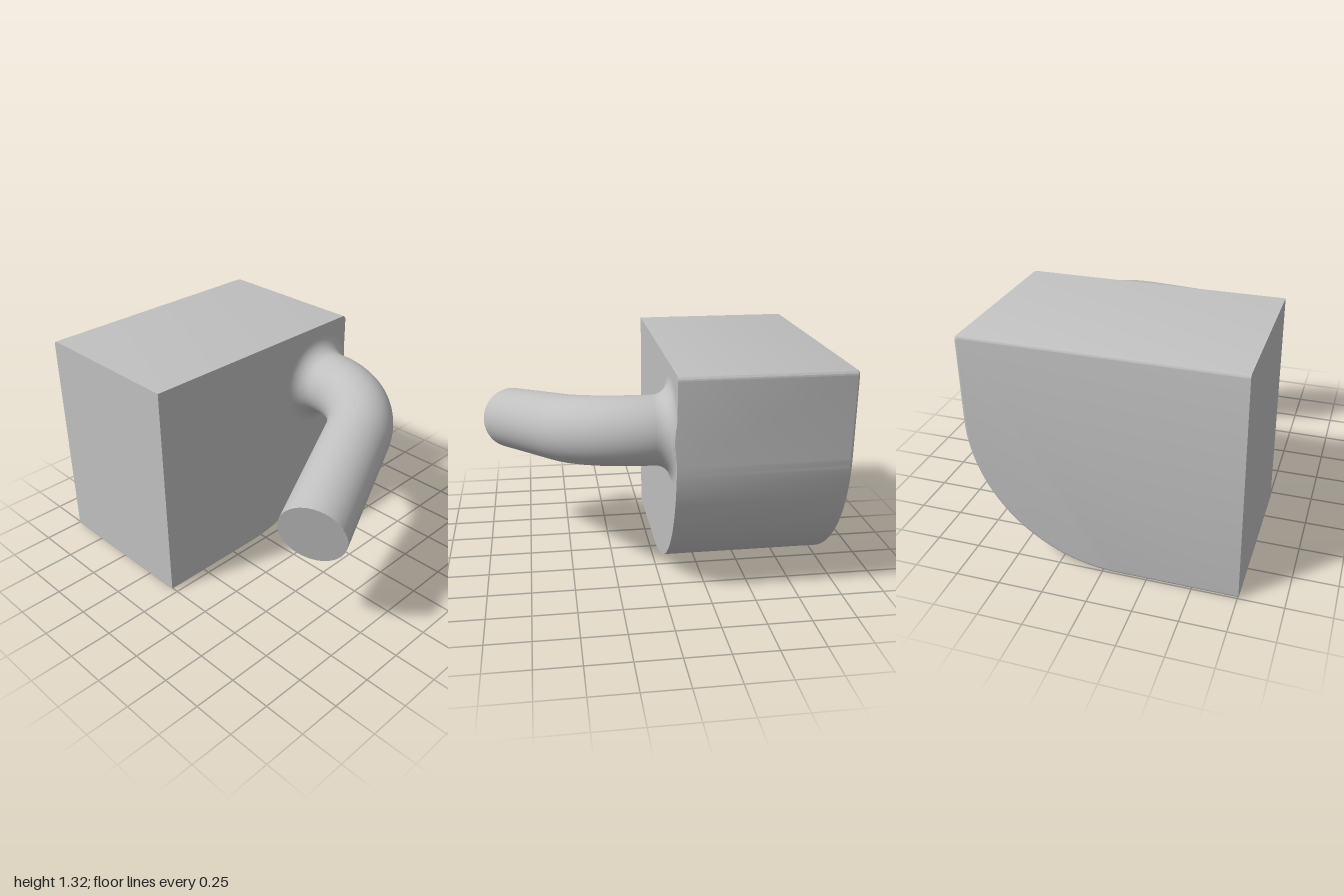
import * as THREE from 'three';
import { toCreasedNormals } from 'three/addons/utils/BufferGeometryUtils.js';

const LEFT = -0.755, RIGHT = 0.752, TOP = 1.315, FRONT = -0.04, BACK = -1;
const R = 0.192;                                   // pipe radius
const FILLET = 0.095;                              // blend radius at the pipe root
const ROOT = new THREE.Vector3(0.512, 0.957, FRONT);

// Straight stub, circular bend, then a straight run
class PipePath extends THREE.Curve {
  constructor() {
    super();
    this.side = new THREE.Vector3(-0.977, -0.215, 0).normalize();
    this.angle = THREE.MathUtils.degToRad(67.2);
    this.bend = 0.518;
    this.stub = FILLET;
    this.run = 0.783;
  }
  getPoint(t, target = new THREE.Vector3()) {
    const arc = this.bend * this.angle;
    const s = t * (this.stub + arc + this.run);
    const a = THREE.MathUtils.clamp((s - this.stub) / this.bend, 0, this.angle);
    const rest = Math.max(0, s - this.stub - arc);
    const u = this.bend * (1 - Math.cos(a)) + rest * Math.sin(this.angle);
    const z = Math.min(s, this.stub) + this.bend * Math.sin(a) + rest * Math.cos(this.angle);
    return target.copy(ROOT).addScaledVector(this.side, u).add(new THREE.Vector3(0, 0, z));
  }
}

// Move every vertex through a rule
function reshape(geometry, rule) {
  const p = geometry.attributes.position, v = new THREE.Vector3();
  for (let i = 0; i < p.count; i++) {
    rule(v.fromBufferAttribute(p, i));
    p.setXYZ(i, v.x, v.y, v.z);
  }
  return geometry;
}

function blockGeometry() {
  const b = 0.02, c = 0.028, r = 0.83;
  const shape = new THREE.Shape();
  shape.moveTo(LEFT - b, 0);
  shape.lineTo(RIGHT - r, 0);
  shape.absarc(RIGHT - r, r, r, -Math.PI / 2, 0, false);
  shape.lineTo(RIGHT, TOP - c);
  shape.absarc(RIGHT - c, TOP - c, c, 0, Math.PI / 2, false);
  shape.lineTo(LEFT - b, TOP);
  const g = new THREE.ExtrudeGeometry(shape, {
    depth: FRONT - BACK - b, curveSegments: 40,
    bevelEnabled: true, bevelSize: b, bevelOffset: -b, bevelThickness: b, bevelSegments: 5,
  });
  g.translate(0, 0, BACK + b);
  // Flatten the rounding on the left and front so only the back edges stay soft
  reshape(g, (v) => {
    v.x = Math.max(v.x, LEFT);
    v.z = Math.min(v.z, FRONT);
  });
  return toCreasedNormals(g, 0.5);
}

function filletGeometry() {
  const profile = [];
  for (let i = 0; i <= 12; i++) {
    const a = (i / 12) * Math.PI / 2;
    profile.push(new THREE.Vector2(R + FILLET * (1 - Math.sin(a)), FILLET * (1 - Math.cos(a))));
  }
  const g = new THREE.LatheGeometry(profile, 128);
  g.rotateX(Math.PI / 2);
  g.translate(ROOT.x, ROOT.y, ROOT.z);
  // Trim flush with the block's side
  reshape(g, (v) => { v.x = Math.min(v.x, RIGHT); });
  return toCreasedNormals(g, 0.6);
}

export function createModel() {
  const group = new THREE.Group();
  const grey = new THREE.MeshStandardMaterial({ color: 0xc0c0c0 });
  grey.name = 'grey';
  const trimmed = new THREE.MeshStandardMaterial({ color: 0xc0c0c0, side: THREE.DoubleSide });
  trimmed.name = 'grey';

  const add = (name, geometry, material = grey) => {
    const mesh = new THREE.Mesh(geometry, material);
    mesh.name = name;
    group.add(mesh);
    return mesh;
  };

  add('block', blockGeometry());
  add('pipeFillet', filletGeometry(), trimmed);

  const path = new PipePath();
  add('bentPipe', new THREE.TubeGeometry(path, 96, R, 64, false));

  // Flat end of the pipe
  const cap = add('pipeEnd', new THREE.CircleGeometry(R, 64));
  const end = path.getPoint(1);
  cap.position.copy(end);
  cap.lookAt(end.clone().add(path.getTangent(1)));
  return group;
}
